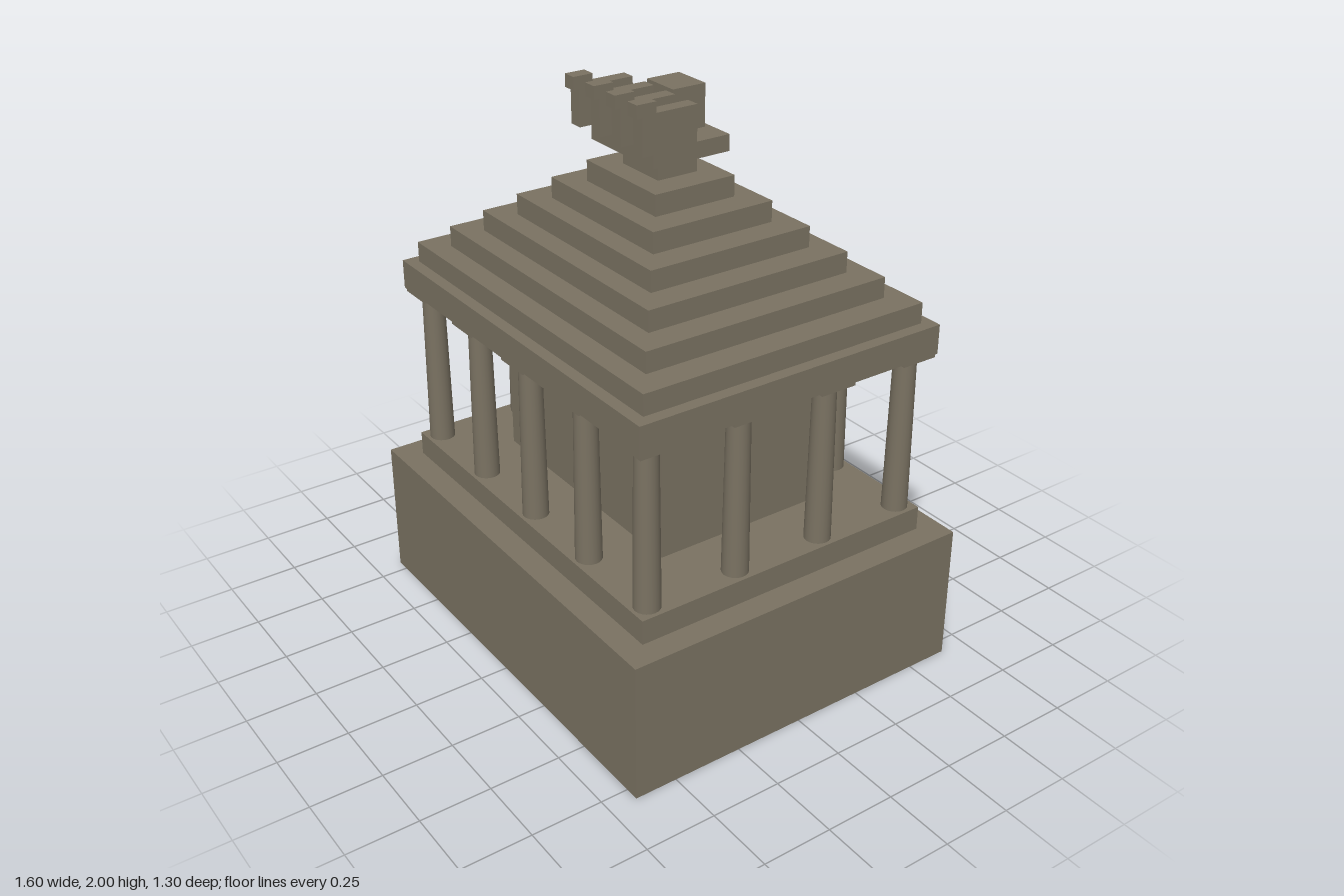
import * as THREE from 'three';

export function createModel() {
  const root = new THREE.Group();
  root.name = 'steppedTomb';
  const stone = new THREE.MeshStandardMaterial({ color: 0x7a7262 });
  stone.name = 'stone';

  // box given by half sizes, bottom and top height, and centre
  const block = (name, hx, hz, y0, y1, x = 0, z = 0, parent = root) => {
    const m = new THREE.Mesh(new THREE.BoxGeometry(hx * 2, y1 - y0, hz * 2), stone);
    m.position.set(x, (y0 + y1) / 2, z);
    m.name = name;
    parent.add(m);
    return m;
  };

  // base and inner chamber
  block('podium', 0.8, 0.652, 0, 0.497);
  block('plinth', 0.712, 0.565, 0.497, 0.583);
  block('chamber', 0.464, 0.32, 0.583, 1.105);

  // colonnade: 5 columns across, 4 deep, perimeter only
  const shaft = new THREE.CylinderGeometry(0.039, 0.045, 0.56, 20);
  const echinus = new THREE.CylinderGeometry(0.062, 0.045, 0.014, 20);
  const addColumn = (x, z) => {
    const column = new THREE.Group();
    column.name = 'column';
    const s = new THREE.Mesh(shaft, stone);
    s.name = 'shaft';
    s.position.y = 0.863;
    const e = new THREE.Mesh(echinus, stone);
    e.name = 'echinus';
    e.position.y = 1.146;
    column.add(s, e);
    block('abacus', 0.067, 0.067, 1.15, 1.167, 0, 0, column);
    column.position.set(x, 0, z);
    root.add(column);
  };
  for (let i = 0; i < 5; i++) {
    for (let j = 0; j < 4; j++) {
      if (i % 4 === 0 || j % 3 === 0) addColumn(-0.654 + i * 0.327, -0.508 + j * 0.3387);
    }
  }

  // entablature and stepped pyramid roof
  block('entablature', 0.725, 0.58, 1.163, 1.266);
  const step = 0.0725;
  for (let i = 0; i < 6; i++) {
    block('roofStep', 0.683 - i * 0.0977, 0.538 - i * 0.077, 1.266 + i * step, 1.266 + (i + 1) * step);
  }
  block('neck', 0.098, 0.076, 1.7, 1.776);
  block('topPlatform', 0.173, 0.146, 1.776, 1.832);

  // four-horse chariot on top
  block('chariot', 0.071, 0.0625, 1.832, 1.976, 0, -0.0625);
  for (const x of [-0.175, -0.058, 0.058, 0.175]) {
    block('horseBody', 0.0245, 0.102, 1.832, 1.964, x, 0.102);
    block('horseHead', 0.0245, 0.036, 1.956, 2.0, x, 0.188);
  }
  return root;
}
